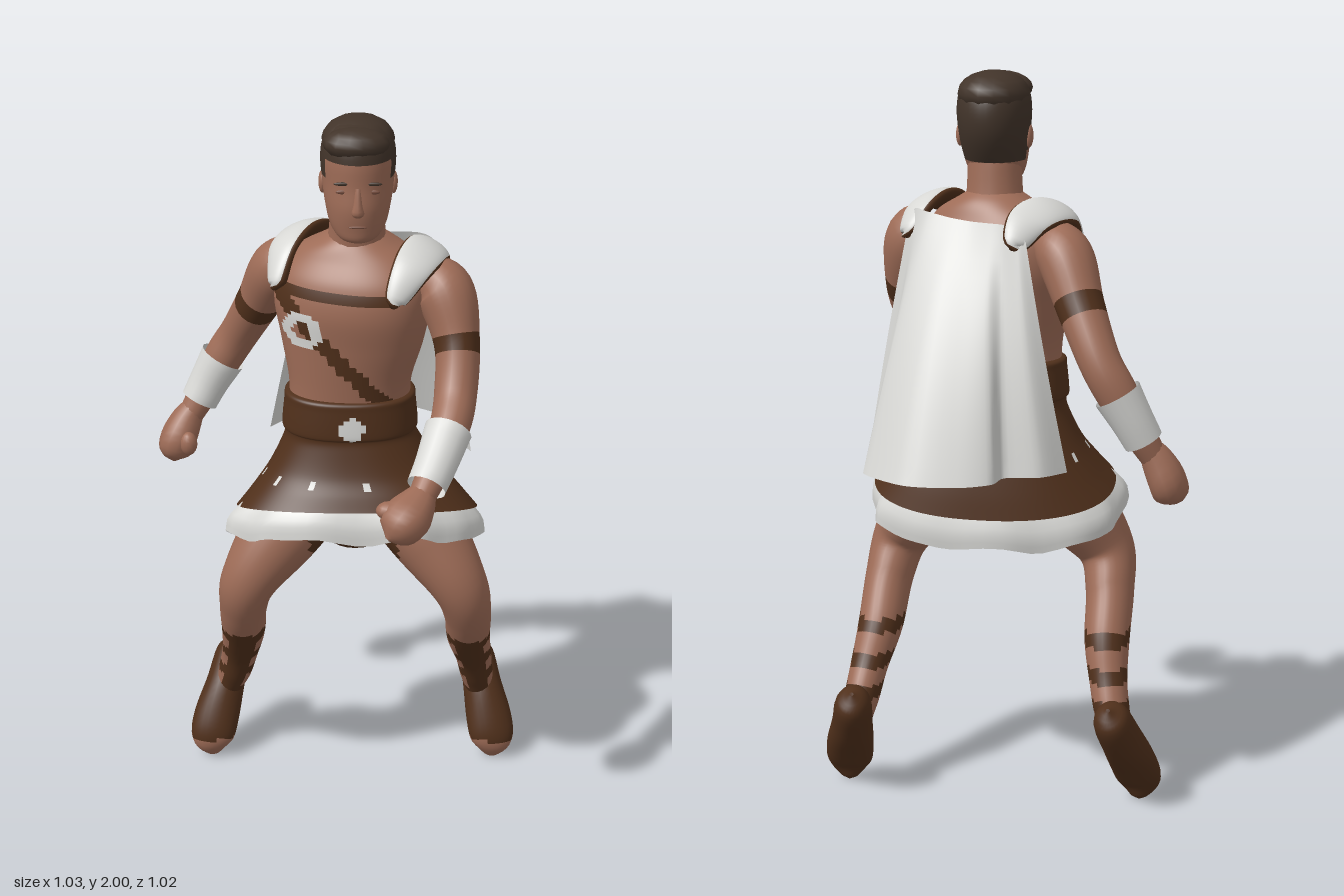
import * as THREE from 'three';

const V = (x, y, z) => new THREE.Vector3(x, y, z);
const flat = (color, name, side = THREE.FrontSide) =>
  Object.assign(new THREE.MeshStandardMaterial({ color, side }), { name });

export function createModel() {
  const model = new THREE.Group();
  const mats = [
    flat(0x9e6c57, 'skin'),
    flat(0x50301b, 'leather', THREE.DoubleSide),
    flat(0xd8d8d5, 'white cloth and metal', THREE.DoubleSide),
    flat(0x42342a, 'hair'),
    flat(0x7a5040, 'facial features'),
  ];
  const SKIN = 0, LEATHER = 1, WHITE = 2, HAIR = 3, FEATURE = 4;

  function add(name, geo, mat) {
    const m = new THREE.Mesh(geo, mat);
    m.name = name;
    model.add(m);
    return m;
  }

  // Smooth skin over sections [x, y, z, halfWidth, halfDepth, yaw, slope].
  // Rings lie level (level: true) or square to the path; colour(p, t, angle) picks a material.
  function loft(name, sections, colour, { n = 20, rows = 20, level = false, front = V(0, 0, 1), p = 1, wave } = {}) {
    const curve = (f) => new THREE.CatmullRomCurve3(sections.map(f), false, 'catmullrom', 0.5);
    const path = curve((s) => V(s[0], s[1], s[2]));
    const size = curve((s) => V(s[3], s[4] ?? s[3], 0));
    const turn = curve((s) => V(s[5] ?? 0, s[6] ?? 0, 0));
    const pow = (c) => Math.sign(c) * Math.abs(c) ** p;
    const pts = [];
    for (let i = 0; i <= rows; i++) {
      const t = i / rows, c = path.getPoint(t), r = size.getPoint(t), k = turn.getPoint(t);
      const T = level ? V(0, 1, 0) : path.getTangent(t);
      const Z = level ? V(-Math.sin(k.x), 0, Math.cos(k.x)) : front.clone().addScaledVector(T, -front.dot(T)).normalize();
      const X = T.clone().cross(Z);
      for (let j = 0; j < n; j++) {
        const a = (j / n) * Math.PI * 2;
        const w = wave ? wave(a, t) : 0;
        const d = X.clone().multiplyScalar(Math.max(r.x, 0.0005) * pow(Math.cos(a)) * (1 + w))
          .addScaledVector(Z, Math.max(r.y, 0.0005) * pow(Math.sin(a)) * (1 + w));
        d.y += k.y * d.z + w * 0.3;
        pts.push(d.add(c));
      }
    }
    const buckets = mats.map(() => []);
    for (let i = 0; i < rows; i++) for (let j = 0; j < n; j++) {
      const j2 = (j + 1) % n;
      const a = i * n + j, b = i * n + j2, c = a + n, d = b + n;
      const mid = pts[a].clone().add(pts[d]).multiplyScalar(0.5);
      const m = typeof colour === 'function' ? colour(mid, (i + 0.5) / rows, ((j + 0.5) / n) * Math.PI * 2) : colour;
      buckets[m].push(a, c, b, b, c, d);
    }
    const geo = new THREE.BufferGeometry().setFromPoints(pts);
    geo.setIndex(buckets.flat());
    let start = 0;
    buckets.forEach((b, m) => {
      if (b.length) geo.addGroup(start, b.length, m);
      start += b.length;
    });
    geo.computeVertexNormals();
    return add(name, geo, mats);
  }

  function blob(name, mat, x, y, z, rx, ry, rz) {
    const m = add(name, new THREE.SphereGeometry(1, 14, 10), mats[mat]);
    m.position.set(x, y, z);
    m.scale.set(rx, ry, rz);
    return m;
  }

  // Torso, twisted at the shoulders, with chest straps and a ring buckle
  loft('torso', [
    [0.03, 1.1, -0.05, 0.16, 0.11], [0.03, 1.18, -0.05, 0.165, 0.112],
    [0.03, 1.27, -0.045, 0.168, 0.115, 0.1], [0.035, 1.38, -0.045, 0.195, 0.13, 0.25],
    [0.035, 1.48, -0.05, 0.215, 0.148, 0.34], [0.04, 1.56, -0.055, 0.21, 0.14, 0.36],
    [0.045, 1.62, -0.06, 0.165, 0.11, 0.34], [0.047, 1.66, -0.06, 0.1, 0.085, 0.2],
    [0.047, 1.69, -0.055, 0.05, 0.05, 0],
  ], (q) => {
    if (q.z < -0.05 - (q.x - 0.03) * -0.3) return SKIN;
    const ring = Math.hypot(q.x + 0.1, q.y - 1.43);
    if (ring < 0.052 && ring > 0.026) return WHITE;
    const off = Math.abs((q.x + 0.16) * 0.73 + (q.y - 1.52) * 0.685);
    if (off < 0.022 && q.y < 1.54) return LEATHER;
    return Math.abs(q.y - 1.54) < 0.014 && q.x < 0.16 ? LEATHER : SKIN;
  }, { n: 72, rows: 64, level: true, p: 0.9 });

  loft('neck', [[0.046, 1.58, -0.06, 0.09, 0.085], [0.047, 1.67, -0.05, 0.077, 0.075], [0.05, 1.76, -0.035, 0.072, 0.078]],
    SKIN, { rows: 8, level: true });

  // Head with hairline
  const X0 = 0.05;
  loft('head', [
    [X0, 1.678, 0.03, 0.005, 0.005], [X0, 1.692, 0.022, 0.048, 0.05], [X0, 1.725, 0, 0.074, 0.082],
    [X0, 1.78, -0.018, 0.088, 0.108], [X0, 1.84, -0.035, 0.096, 0.12], [X0, 1.9, -0.038, 0.1, 0.122],
    [X0, 1.95, -0.035, 0.09, 0.108], [X0, 1.985, -0.03, 0.055, 0.065], [X0, 1.995, -0.03, 0.004, 0.004],
  ], (q) => (q.y > (q.z > 0.03 ? 1.905 : q.z > -0.03 ? 1.85 : 1.765) ? HAIR : SKIN),
  { n: 36, rows: 36, level: true });
  blob('hairFringe', HAIR, X0 - 0.005, 1.948, 0.025, 0.088, 0.043, 0.06);
  blob('hairCrown', HAIR, X0, 1.94, -0.05, 0.097, 0.06, 0.112);
  loft('nose', [[X0, 1.762, 0.08, 0.004], [X0, 1.775, 0.085, 0.018, 0.018], [X0, 1.8, 0.084, 0.013, 0.016], [X0, 1.845, 0.078, 0.008, 0.009]],
    SKIN, { n: 8, rows: 8, level: true });
  blob('mouth', FEATURE, X0, 1.738, 0.083, 0.025, 0.004, 0.004);
  for (const s of [-1, 1]) {
    blob('eye', FEATURE, X0 + s * 0.04, 1.832, 0.073, 0.018, 0.006, 0.004);
    blob('brow', HAIR, X0 + s * 0.04, 1.855, 0.076, 0.024, 0.005, 0.004);
    blob('ear', SKIN, X0 + s * 0.094, 1.825, -0.035, 0.011, 0.032, 0.02);
  }

  // Belt and flared leather skirt with buckle and studs
  loft('beltAndSkirt', [
    [0.05, 0.875, -0.04, 0.335, 0.195, 0, 0.34], [0.048, 0.93, -0.045, 0.29, 0.18, 0, 0.25],
    [0.042, 1.0, -0.05, 0.235, 0.158, 0, 0.12], [0.035, 1.08, -0.05, 0.19, 0.135, 0, 0.04],
    [0.03, 1.115, -0.05, 0.178, 0.128], [0.03, 1.13, -0.05, 0.186, 0.134],
    [0.03, 1.2, -0.05, 0.18, 0.13], [0.03, 1.225, -0.05, 0.176, 0.126], [0.03, 1.23, -0.05, 0.15, 0.1],
  ], (q, t, a) => {
    if (q.z > 0 && Math.hypot(q.x - 0.035, q.y - 1.155) < 0.034) return WHITE;
    const stud = Math.abs(q.y - 0.14 * q.z - 0.985) < 0.013;
    return stud && (a * 12 / Math.PI + 0.5) % 2 < 0.32 ? WHITE : LEATHER;
  }, { n: 96, rows: 56, level: true, p: 0.88 });

  // Ruffled white underskirt
  loft('underskirt', [
    [0.045, 0.79, -0.03, 0.35, 0.198, 0, 0.35], [0.045, 0.84, -0.035, 0.345, 0.196, 0, 0.35],
    [0.048, 0.9, -0.04, 0.3, 0.17, 0, 0.32], [0.048, 0.96, -0.045, 0.24, 0.15, 0, 0.2],
  ], WHITE, { n: 56, rows: 8, level: true, p: 0.88, wave: (a, t) => (1 - t) * (0.03 * Math.sin(7 * a) + 0.02 * Math.sin(11 * a + 1)) });
  loft('shorts', [[0.045, 0.75, -0.05, 0.01, 0.01], [0.045, 0.775, -0.05, 0.08, 0.08], [0.045, 0.84, -0.05, 0.15, 0.12], [0.045, 0.96, -0.05, 0.17, 0.12]],
    LEATHER, { rows: 10, level: true });

  // Legs: strapped shins, boots pointing down with bare toes
  const legColour = (inner) => (q, t, a) => {
    if (q.y > 0.74) return inner(q) ? LEATHER : SKIN;
    if (q.y < 0.22 || [0.46, 0.37, 0.29].some((y) => Math.abs(q.y - y) < 0.019)) return LEATHER;
    return q.y < 0.45 && Math.sin(a) > 0.72 ? LEATHER : SKIN;
  };
  loft('leftLeg', [
    [0.14, 0.93, -0.04, 0.11, 0.11], [0.25, 0.8, 0.005, 0.107, 0.11], [0.335, 0.675, 0.05, 0.08, 0.085],
    [0.362, 0.57, 0.01, 0.067, 0.08], [0.37, 0.45, -0.075, 0.062, 0.07], [0.388, 0.35, -0.14, 0.052, 0.055],
    [0.4, 0.27, -0.185, 0.048, 0.055], [0.41, 0.21, -0.205, 0.04, 0.045],
  ], legColour((q) => q.x < 0.165), { n: 28, rows: 56 });
  loft('rightLeg', [
    [-0.05, 0.93, -0.05, 0.11, 0.11], [-0.165, 0.8, -0.005, 0.107, 0.11], [-0.25, 0.675, 0.025, 0.08, 0.085],
    [-0.27, 0.57, -0.02, 0.067, 0.08], [-0.275, 0.45, -0.1, 0.062, 0.07], [-0.288, 0.35, -0.155, 0.052, 0.055],
    [-0.305, 0.27, -0.19, 0.048, 0.055], [-0.325, 0.21, -0.205, 0.04, 0.045],
  ], legColour((q) => q.x > -0.075), { n: 28, rows: 56 });
  for (const [name, heel, toe] of [['leftBoot', 0.4, 0.45], ['rightBoot', -0.31, -0.375]]) {
    const x = (k) => heel + (toe - heel) * k;
    loft(name, [
      [x(0), 0.315, -0.305, 0.006], [x(0.05), 0.285, -0.28, 0.047, 0.055], [x(0.4), 0.205, -0.222, 0.056, 0.064],
      [x(0.8), 0.12, -0.168, 0.066, 0.05], [x(1), 0.06, -0.14, 0.06, 0.035], [x(1), 0.015, -0.14, 0.025, 0.012], [x(1), 0.004, -0.142, 0.002],
    ], (q, t, a) => (q.y < 0.07 && Math.sin(a) > 0.1 ? SKIN : LEATHER), { n: 24, rows: 28, front: V(0, 0.59, 0.81) });
  }

  // Arms with a leather band, metal cuffs and clenched fists
  const armColour = (q, t) => (t > 0.31 && t < 0.385 ? LEATHER : SKIN);
  const side = V(1, 0, 0);
  loft('leftArm', [
    [0.21, 1.58, -0.01, 0.05], [0.28, 1.535, 0.015, 0.088, 0.08], [0.315, 1.41, 0.07, 0.08, 0.062],
    [0.312, 1.3, 0.15, 0.064, 0.058], [0.295, 1.235, 0.23, 0.056, 0.054], [0.255, 1.16, 0.325, 0.044], [0.22, 1.105, 0.39, 0.036],
  ], armColour, { n: 22, rows: 48, front: side });
  loft('leftCuff', [[0.291, 1.228, 0.24, 0.064], [0.26, 1.17, 0.315, 0.057], [0.232, 1.125, 0.372, 0.053]], WHITE, { rows: 6, front: side });
  loft('leftFist', [
    [0.23, 1.12, 0.37, 0.03], [0.21, 1.095, 0.4, 0.045, 0.05], [0.18, 1.065, 0.435, 0.06, 0.066],
    [0.15, 1.04, 0.465, 0.05, 0.05], [0.13, 1.025, 0.48, 0.005],
  ], SKIN, { n: 12, rows: 12, front: side });
  blob('leftThumb', SKIN, 0.135, 1.085, 0.43, 0.035, 0.024, 0.028);
  loft('rightArm', [
    [-0.1, 1.58, -0.13, 0.05], [-0.165, 1.53, -0.18, 0.075, 0.082], [-0.22, 1.41, -0.25, 0.064, 0.07],
    [-0.28, 1.285, -0.315, 0.056, 0.06], [-0.33, 1.2, -0.33, 0.055], [-0.385, 1.1, -0.322, 0.044], [-0.425, 1.03, -0.308, 0.036],
  ], armColour, { n: 22, rows: 48 });
  loft('rightCuff', [[-0.332, 1.198, -0.33, 0.065], [-0.37, 1.13, -0.325, 0.057], [-0.4, 1.072, -0.316, 0.053]], WHITE, { rows: 6 });
  loft('rightFist', [
    [-0.41, 1.06, -0.312, 0.03], [-0.435, 1.02, -0.305, 0.044, 0.045], [-0.46, 0.965, -0.295, 0.052, 0.064],
    [-0.472, 0.92, -0.285, 0.045, 0.05], [-0.475, 0.895, -0.28, 0.005],
  ], SKIN, { n: 12, rows: 12 });
  blob('rightThumb', SKIN, -0.43, 0.965, -0.245, 0.025, 0.035, 0.024);

  // Shoulder guards: arched plates with leather rims
  const rim = (q, t, a) => (Math.abs(Math.cos(a)) > 0.93 || t < 0.05 || t > 0.95 || Math.sin(a) < -0.3 ? LEATHER : WHITE);
  const guard = (name, pts, up) => {
    const w = [0.03, 0.052, 0.06, 0.056, 0.035];
    const s = pts.map((c, i) => [...c, w[i], 0.022]);
    const a = s[0], z = s[4];
    loft(name, [[a[0], a[1] - 0.012, a[2], 0.003], ...s, [z[0], z[1] - 0.012, z[2], 0.003]], rim, { n: 32, rows: 32, front: up });
  };
  guard('leftShoulderGuard', [[0.15, 1.55, 0.125], [0.19, 1.62, 0.085], [0.225, 1.642, 0.01], [0.25, 1.625, -0.07], [0.265, 1.575, -0.125]], V(0.45, 0.9, 0));
  guard('rightShoulderGuard', [[-0.165, 1.55, -0.01], [-0.15, 1.62, -0.07], [-0.115, 1.642, -0.15], [-0.075, 1.625, -0.22], [-0.05, 1.575, -0.27]], V(-0.45, 0.9, -0.1));

  // Cape: folded sheet between the shoulder line and the hem
  const line = (pts) => new THREE.CatmullRomCurve3(pts.map((q) => V(...q)), false, 'catmullrom', 0.4);
  const top = line([[0.28, 1.6, -0.06], [0.25, 1.635, -0.12], [0.21, 1.635, -0.165], [0.14, 1.625, -0.195], [0.08, 1.62, -0.215],
    [0.03, 1.62, -0.235], [-0.01, 1.62, -0.25], [-0.05, 1.615, -0.27], [-0.08, 1.58, -0.28]]);
  const hem = line([[0.37, 0.975, -0.18], [0.315, 0.975, -0.29], [0.335, 0.97, -0.4], [0.2, 0.97, -0.505], [0.06, 0.97, -0.5],
    [-0.025, 0.975, -0.47], [-0.045, 0.975, -0.4], [-0.14, 0.98, -0.395], [-0.2, 0.98, -0.33]]);
  const cape = new THREE.PlaneGeometry(1, 1, 40, 14);
  const pos = cape.attributes.position;
  for (let i = 0; i < pos.count; i++) {
    const u = pos.getX(i) + 0.5, v = 0.5 - pos.getY(i);
    const q = top.getPoint(u).lerp(hem.getPoint(u), v);
    pos.setXYZ(i, q.x, q.y, q.z - 0.02 * Math.sin(Math.PI * v));
  }
  cape.computeVertexNormals();
  add('cape', cape, mats[WHITE]);

  return model;
}
